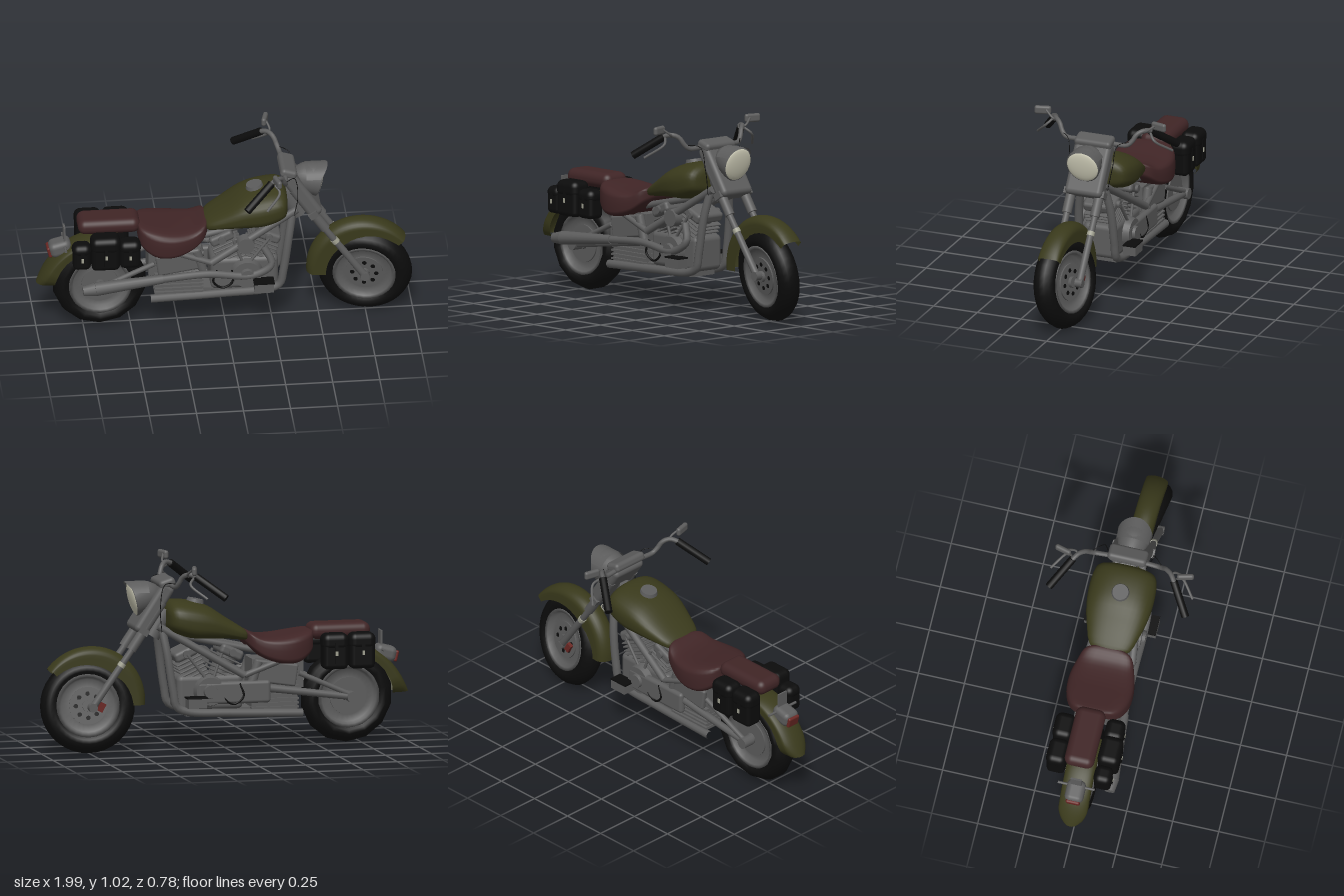
import * as THREE from 'three';
import { RoundedBoxGeometry } from 'three/addons/geometries/RoundedBoxGeometry.js';

const mat = (name, color, side = THREE.FrontSide) => {
  const m = new THREE.MeshStandardMaterial({ color, side });
  m.name = name;
  return m;
};
const V = (x, y, z) => new THREE.Vector3(x, y, z);

// grid surface from a rule f(u, v) -> Vector3
function sheet(f, nu, nv) {
  const pos = [], idx = [];
  for (let i = 0; i <= nu; i++) for (let j = 0; j <= nv; j++) pos.push(...f(i / nu, j / nv).toArray());
  for (let i = 0; i < nu; i++) for (let j = 0; j < nv; j++) {
    const a = i * (nv + 1) + j, b = a + nv + 1;
    idx.push(a, b, a + 1, b, b + 1, a + 1);
  }
  const g = new THREE.BufferGeometry();
  g.setAttribute('position', new THREE.Float32BufferAttribute(pos, 3));
  g.setIndex(idx);
  g.computeVertexNormals();
  return g;
}

// closed body along x from sections [x, bottom, top, halfWidth], squarer below its middle
function body(sections, power) {
  const a = new THREE.CatmullRomCurve3(sections.map(s => V(s[0], s[1], s[2])), false, 'catmullrom');
  const b = new THREE.CatmullRomCurve3(sections.map(s => V(s[3], 0, 0)), false, 'catmullrom');
  return sheet((u, v) => {
    const p = a.getPoint(u), w = Math.max(0, b.getPoint(u).x), t = (v * 2 - 0.5) * Math.PI;
    const e = Math.sin(t) < 0 ? power * 0.7 : power;
    const soft = c => Math.sign(c) * Math.abs(c) ** e;
    return V(p.x, (p.y + p.z) / 2 + (p.z - p.y) / 2 * soft(Math.sin(t)), w * soft(Math.cos(t)));
  }, 24, 32);
}

// arched guard with a domed top and flat skirts, from radius rules around a wheel centre
function guard(a0, a1, outer, inner, width) {
  return sheet((u, v) => {
    const t = (a0 + (a1 - a0) * u) * Math.PI / 180, s = v * 2 - 1, k = Math.abs(s);
    const phi = Math.min(1, k / 0.7) * Math.PI / 2;
    const drop = 0.45 * (1 - Math.cos(phi)) + 0.55 * Math.max(0, k - 0.7) / 0.3;
    const r = outer(u) + (inner(u) - outer(u)) * drop;
    return V(r * Math.cos(t), r * Math.sin(t), Math.sign(s) * width(u) * Math.sin(phi));
  }, 28, 20);
}

export function createModel() {
  const root = new THREE.Group();
  const grey = mat('metalGrey', 0x5c5c5c), black = mat('blackRubber', 0x0c0c0c), cream = mat('creamLens', 0xcfcdb8);
  const olive = mat('olivePaint', 0x39391b, THREE.DoubleSide), brown = mat('brownLeather', 0x402526);
  const red = mat('redLens', 0x6a2824), pale = mat('paleMetal', 0xa0a090);

  const add = (name, geo, m, p = [0, 0, 0], r = [0, 0, 0], parent = root) => {
    const o = new THREE.Mesh(geo, m);
    o.name = name;
    o.position.set(...p);
    o.rotation.set(...r);
    parent.add(o);
    return o;
  };
  const box = (name, size, m, p, r, parent) => add(name, new THREE.BoxGeometry(...size), m, p, r, parent);
  const rod = (name, a, b, r1, r2, m = grey) => {
    const A = V(...a), B = V(...b);
    const o = add(name, new THREE.CylinderGeometry(r2, r1, A.distanceTo(B), 14), m, A.clone().add(B).multiplyScalar(0.5).toArray());
    o.quaternion.setFromUnitVectors(V(0, 1, 0), B.sub(A).normalize());
  };
  const pipe = (name, pts, r, m = grey, n = 32) =>
    add(name, new THREE.TubeGeometry(new THREE.CatmullRomCurve3(pts.map(p => V(...p))), n, r, 10), m);
  const Q = Math.PI / 2;

  // wheels: tyre, rim, dished disc, hub and round holes
  function wheel(name, p, seg, w, rot, holes) {
    const g = new THREE.Group();
    g.name = name;
    g.position.set(...p);
    g.rotation.set(...rot);
    root.add(g);
    const lathe = (pts, n) => new THREE.LatheGeometry(pts.map(q => new THREE.Vector2(q[0], q[1] * w)), n);
    add('tyre', lathe([[0.162, -0.75], [0.182, -0.98], [0.203, -0.98], [0.225, -0.78], [0.242, -0.44], [0.251, 0],
      [0.242, 0.44], [0.225, 0.78], [0.203, 0.98], [0.182, 0.98], [0.162, 0.75]], seg), black, [0, 0, 0], [Q, 0, 0], g);
    add('rim', lathe([[0.001, -0.5], [0.1, -0.45], [0.14, -0.35], [0.15, -0.8], [0.168, -0.85], [0.168, 0.85],
      [0.15, 0.8], [0.14, 0.35], [0.1, 0.45], [0.001, 0.5]], 28), grey, [0, 0, 0], [Q, 0, 0], g);
    add('hub', new THREE.CylinderGeometry(0.03, 0.03, w * 1.9, 16), grey, [0, 0, 0], [Q, 0, 0], g);
    for (const s of [1, -1]) {
      add('brakeDisc', new THREE.CylinderGeometry(0.1, 0.1, 0.008, 28), grey, [0, 0, s * w * 0.6], [Q, 0, 0], g);
      for (let i = 0; i < holes; i++) {
        const t = i * 2 * Math.PI / holes;
        add('discHole', new THREE.CylinderGeometry(0.012, 0.012, 0.004, 10), black,
          [0.064 * Math.cos(t), 0.064 * Math.sin(t), s * (w * 0.6 + 0.004)], [Q, 0, 0], g);
      }
    }
  }
  wheel('frontWheel', [0.748, 0.25, 0], 36, 0.062, [0.14, -0.18, 0], 8);
  wheel('rearWheel', [-0.663, 0.26, 0], 14, 0.07, [0, 0, 0], 0);
  box('brakeCaliper', [0.03, 0.05, 0.02], red, [0.69, 0.25, -0.075], [0, 0, 0.5]);

  // fenders
  add('frontFender', guard(180, 42, u => 0.3 + 0.018 * Math.sin(u * 3.1), u => 0.2 + 0.05 * u * u, () => 0.06), olive,
    [0.738, 0.25, 0], [0.03, -0.04, 0]);
  add('rearFender', guard(178, 70, u => 0.285 + 0.055 * (1 - u) ** 4, u => 0.245 - 0.03 * u,
    u => 0.078 * Math.min(1, 0.6 + 1.1 * Math.sqrt(u))), olive, [-0.66, 0.26, 0]);

  // tank, seat and rear pad
  add('fuelTank', body([[-0.105, 0.59, 0.62, 0.0], [-0.1, 0.58, 0.635, 0.1], [0, 0.59, 0.7, 0.145], [0.1, 0.595, 0.765, 0.17],
    [0.2, 0.6, 0.795, 0.177], [0.29, 0.63, 0.8, 0.165], [0.325, 0.66, 0.77, 0.12], [0.33, 0.7, 0.73, 0]], 0.88), olive);
  add('tankCap', new THREE.CylinderGeometry(0.043, 0.048, 0.02, 20), grey, [0.16, 0.792, 0], [0, 0, 0.2]);
  add('seat', body([[-0.465, 0.59, 0.61, 0], [-0.455, 0.52, 0.625, 0.11], [-0.38, 0.46, 0.615, 0.165], [-0.28, 0.455, 0.6, 0.177],
    [-0.18, 0.49, 0.6, 0.155], [-0.11, 0.55, 0.63, 0.115], [-0.085, 0.6, 0.62, 0]], 0.5), brown);
  add('rearPad', new RoundedBoxGeometry(0.33, 0.085, 0.16, 5, 0.04), brown, [-0.615, 0.612, -0.008]);

  // tail light and plate bar
  add('tailLamp', new RoundedBoxGeometry(0.12, 0.085, 0.1, 3, 0.03), grey, [-0.872, 0.478, 0], [0, 0, 0.25]);
  add('tailLens', new RoundedBoxGeometry(0.02, 0.06, 0.075, 3, 0.009), red, [-0.93, 0.46, 0], [0, 0, 0.25]);
  box('plateBar', [0.01, 0.13, 0.06], grey, [-0.85, 0.535, 0]);
  rod('signalBar', [-0.85, 0.5, -0.1], [-0.85, 0.5, 0.1], 0.007, 0.007);

  // headlight, lens, peak and fork shroud
  const lamp = new THREE.Group();
  lamp.name = 'headlight';
  lamp.position.set(0.5, 0.812, 0);
  lamp.rotation.z = -Q - 0.25;
  root.add(lamp);
  add('lampShell', new THREE.LatheGeometry([[0.001, -0.15], [0.04, -0.14], [0.07, -0.1], [0.087, -0.05], [0.094, 0], [0.088, 0.005]]
    .map(p => new THREE.Vector2(...p)), 28), grey, [0, 0, 0], [0, 0, 0], lamp);
  add('lampLens', new THREE.SphereGeometry(0.09, 24, 6, 0, Math.PI * 2, 0, Q).scale(1, 0.2, 1), cream, [0, 0, 0], [0, 0, 0], lamp);
  add('lampPeak', sheet((u, v) => {
    const t = (v - 0.5) * 2.2;
    return V(0.43 + u * (0.04 + 0.08 * Math.cos(t)), 0.81 + 0.096 * Math.cos(t), 0.098 * Math.sin(t));
  }, 4, 14), mat('peakMetal', 0x5c5c5c, THREE.DoubleSide));
  add('forkShroud', new RoundedBoxGeometry(0.08, 0.3, 0.21, 3, 0.025), grey, [0.405, 0.765, 0], [0, 0, 0.58]);
  add('dash', new RoundedBoxGeometry(0.09, 0.05, 0.21, 3, 0.02), grey, [0.335, 0.9, 0], [0, 0, -0.3]);
  box('forkYoke', [0.05, 0.035, 0.23], grey, [0.465, 0.65, 0], [0, 0, 0.58]);

  for (const s of [1, -1]) {
    const z = n => s * n;
    // fork legs
    rod('upperFork', [0.36, 0.8, z(0.08)], [0.53, 0.55, z(0.08)], 0.026, 0.026);
    rod('lowerFork', [0.52, 0.56, z(0.08)], [0.74, 0.25, z(0.08)], 0.017, 0.02);
    rod('forkRing', [0.575, 0.482, z(0.08)], [0.589, 0.463, z(0.08)], 0.021, 0.021, pale);
    rod('axleEnd', [0.74, 0.25, z(0.06)], [0.74, 0.25, z(0.1)], 0.024, 0.024);
    // handlebar, grip, levers and mirror
    pipe('handlebar', [[0.32, 0.89, 0], [0.315, 0.89, z(0.1)], [0.31, 0.892, z(0.175)], [0.3, 0.915, z(0.2)],
      [0.285, 0.95, z(0.22)], [0.26, 0.966, z(0.25)], [0.225, 0.957, z(0.275)], [0.1, 0.86, z(0.365)]], 0.013);
    rod('grip', [0.225, 0.957, z(0.275)], [0.085, 0.85, z(0.37)], 0.021, 0.021, black);
    pipe('lever', [[0.24, 0.95, z(0.28)], [0.265, 0.92, z(0.31)], [0.19, 0.85, z(0.385)]], 0.007, grey, 12);
    add('mirror', new RoundedBoxGeometry(0.026, 0.046, 0.09, 4, 0.013), grey, [0.25, 0.997, z(0.332)], [0, z(0.25), 0]);
    pipe('mirrorStem', [[0.26, 0.955, z(0.25)], [0.27, 0.97, z(0.27)], [0.255, 1, z(0.31)]], 0.006, grey, 12);
    pipe('cable', [[0.3, 0.91, z(0.2)], [0.36, 0.9, z(0.14)], [0.38, 0.78, z(0.12)], [0.36, 0.62, z(0.08)]], 0.002, black);
    // frame tubes
    pipe('cradleTube', [[0.36, 0.67, z(0.06)], [0.335, 0.52, z(0.09)], [0.305, 0.32, z(0.1)], [0.285, 0.24, z(0.1)],
      [0.22, 0.212, z(0.1)], [0, 0.2, z(0.1)], [-0.4, 0.187, z(0.1)]], 0.022, grey, 48);
    rod('diagonalTube', [0.38, 0.67, z(0.07)], [-0.08, 0.4, z(0.12)], 0.02, 0.02);
    rod('seatTube', [-0.08, 0.4, z(0.12)], [-0.42, 0.52, z(0.1)], 0.016, 0.016);
    rod('backboneTube', [0.33, 0.63, z(0.04)], [-0.4, 0.47, z(0.06)], 0.018, 0.018);
    rod('swingArm', [-0.1, 0.34, z(0.1)], [-0.68, 0.26, z(0.1)], 0.022, 0.018);
    rod('rearStay', [-0.38, 0.4, z(0.1)], [-0.67, 0.27, z(0.1)], 0.014, 0.014);
    rod('shock', [-0.16, 0.47, z(0.1)], [-0.12, 0.34, z(0.1)], 0.025, 0.025);
    rod('rearAxle', [-0.67, 0.26, z(0.06)], [-0.67, 0.26, z(0.125)], 0.03, 0.03);
    // foot boards
    box('footBoard', [0.11, 0.008, 0.07], black, [0.195, 0.295, z(0.16)]);
    box('footBracket', [0.1, 0.05, 0.07], grey, [0.195, 0.266, z(0.16)]);
    // side panel and round engine cover
    add('sidePanel', new RoundedBoxGeometry(0.24, 0.12, 0.03, 3, 0.012), grey, [-0.25, 0.405, z(0.1)], [0, 0, 0.15]);
    add('engineCover', new THREE.CylinderGeometry(0.075, 0.085, 0.035, 24), grey, [0.11, 0.32, z(0.115)], [s * Q, 0, 0]);
    add('coverCap', new THREE.CylinderGeometry(0.035, 0.04, 0.02, 18), grey, [0.11, 0.32, z(0.14)], [s * Q, 0, 0]);
    pipe('wire', [[-0.05, 0.36, z(0.13)], [-0.07, 0.29, z(0.135)], [-0.02, 0.25, z(0.13)], [0.03, 0.28, z(0.13)], [0.03, 0.35, z(0.12)]], 0.006, black);
  }

  // exhaust on the left, long drive cover on the right
  pipe('exhaustPipe', [[0.2, 0.47, 0.1], [0.24, 0.38, 0.13], [0.14, 0.32, 0.135], [-0.1, 0.34, 0.135], [-0.36, 0.325, 0.14]], 0.02);
  rod('muffler', [-0.34, 0.327, 0.14], [-0.7, 0.297, 0.158], 0.024, 0.037);
  rod('mufflerTip', [-0.7, 0.297, 0.158], [-0.765, 0.29, 0.16], 0.037, 0.027);
  add('driveCover', new RoundedBoxGeometry(0.4, 0.12, 0.04, 3, 0.018), grey, [-0.02, 0.31, -0.115]);

  // luggage: pouches [x, width, height, depth, side] with flaps and buckles
  for (const [x, w, h, d, s] of [[-0.77, 0.095, 0.14, 0.09, 1], [-0.645, 0.15, 0.185, 0.11, 1], [-0.515, 0.11, 0.15, 0.095, 1],
    [-0.712, 0.135, 0.185, 0.1, -1], [-0.565, 0.135, 0.185, 0.1, -1]]) {
    add('pouch', new RoundedBoxGeometry(w, h, d, 3, 0.025), black, [x, 0.42 + h / 2, s * (0.083 + d / 2)]);
    add('pouchFlap', new RoundedBoxGeometry(w + 0.008, h * 0.5, d + 0.008, 4, 0.035), black, [x, 0.425 + h * 0.76, s * (0.083 + d / 2)]);
    box('strap', [0.018, h * 0.6, 0.006], black, [x, 0.42 + h * 0.48, s * (0.086 + d)]);
    box('buckle', [0.013, 0.024, 0.005], pale, [x, 0.42 + h * 0.47, s * (0.09 + d)]);
  }

  // engine block and finned gearbox
  add('crankcase', new RoundedBoxGeometry(0.36, 0.19, 0.19, 3, 0.03), grey, [0.1, 0.31, 0]);
  box('gearbox', [0.25, 0.13, 0.18], grey, [-0.25, 0.27, 0]);
  for (let i = 0; i < 6; i++) box('gearboxFin', [0.26, 0.01, 0.21], grey, [-0.25, 0.22 + i * 0.022, 0]);
  box('sump', [0.5, 0.04, 0.16], grey, [-0.02, 0.205, 0]);
  box('underSeatBox', [0.28, 0.16, 0.16], grey, [-0.27, 0.4, 0]);

  // two finned cylinders in a V
  for (const [x, tilt] of [[0.01, 0.42], [0.2, -0.42]]) {
    const g = new THREE.Group();
    g.name = 'engineCylinder';
    g.position.set(x, 0.45, 0);
    g.rotation.z = tilt;
    root.add(g);
    add('barrel', new THREE.CylinderGeometry(0.055, 0.055, 0.16, 18), grey, [0, -0.01, 0], [0, 0, 0], g);
    for (let i = 0; i < 6; i++)
      add('coolingFin', new RoundedBoxGeometry(0.145, 0.009, 0.17, 1, 0.004), grey, [0, -0.07 + i * 0.021, 0], [0, 0, 0], g);
    add('cylinderHead', new RoundedBoxGeometry(0.13, 0.055, 0.18, 3, 0.018), grey, [0, 0.075, 0], [0, 0, 0], g);
    for (const s of [1, -1]) {
      rod('pushRod', [x + 0.03, 0.52, s * 0.1], [0.1, 0.35, s * 0.105], 0.008, 0.008);
      add('headBolt', new THREE.CylinderGeometry(0.02, 0.02, 0.02, 12), grey, [0, 0.075, s * 0.095], [Q, 0, 0], g);
    }
  }
  add('airCleaner', new THREE.CylinderGeometry(0.045, 0.05, 0.05, 20), grey, [0.105, 0.49, 0.1], [Q, 0, 0]);
  rod('headStock', [0.32, 0.75, 0], [0.4, 0.61, 0], 0.045, 0.045);
  return root;
}
